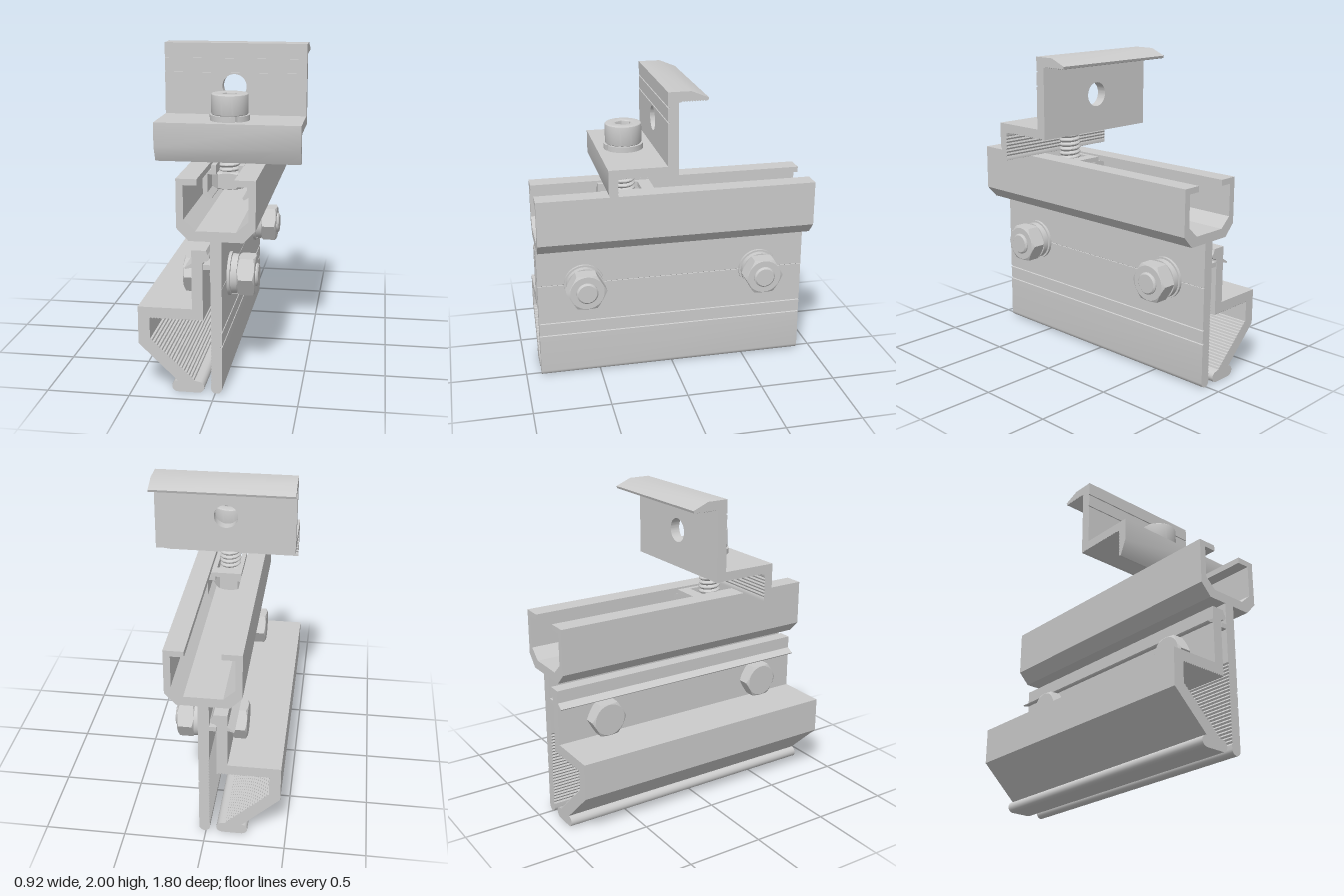
import * as THREE from 'three';
import { toCreasedNormals } from 'three/addons/utils/BufferGeometryUtils.js';

const mat = new THREE.MeshStandardMaterial({ color: 0xcccccc, side: THREE.DoubleSide });

function mesh(name, geo, parent) {
  const m = new THREE.Mesh(toCreasedNormals(geo, 0.45), mat);
  m.name = name;
  parent.add(m);
  return m;
}

const shapeOf = (pts) => new THREE.Shape(pts.map(([x, y]) => new THREE.Vector2(x, y)));

// Extrude a shape from z0 to z1
function prism(shape, z0, z1) {
  const g = new THREE.ExtrudeGeometry(shape, { depth: z1 - z0, bevelEnabled: false, curveSegments: 32 });
  return g.translate(0, 0, z0);
}

// Row of saw teeth from a to b, cut by depth d to the left of the direction
function teeth([ax, ay], [bx, by], n, d) {
  const len = Math.hypot(bx - ax, by - ay), nx = -(by - ay) / len, ny = (bx - ax) / len;
  const pts = [];
  for (let i = 0; i <= 2 * n; i++) {
    const t = i / (2 * n), k = i % 2 ? d : 0;
    pts.push([ax + (bx - ax) * t + nx * k, ay + (by - ay) * t + ny * k]);
  }
  return pts;
}

function arc(cx, cy, r, a0, a1, n = 8) {
  return Array.from({ length: n + 1 }, (_, i) => {
    const a = a0 + (a1 - a0) * i / n;
    return [cx + r * Math.cos(a), cy + r * Math.sin(a)];
  });
}

const lathe = (pts, seg = 40) =>
  new THREE.LatheGeometry(pts.map(([x, y]) => new THREE.Vector2(x, y)), seg);

// Hexagon of apothem a with rounded-off corners on both ends, corner facing +z
function hexGeometry(a, y0, y1) {
  const r = a * 0.97;
  const g = lathe([[0, y0], [r, y0], [a, y0], [a, y1], [r, y1], [0, y1]], 60);
  const p = g.attributes.position;
  for (let i = 0; i < p.count; i++) {
    const x = p.getX(i), z = p.getZ(i), rad = Math.hypot(x, z);
    if (rad < a * 0.985) continue;
    const phi = (Math.atan2(x, z) + 4 * Math.PI) % (Math.PI / 3);
    const k = 1 / Math.cos(phi - Math.PI / 6);
    const drop = (k * a - r) * 0.55;
    const y = p.getY(i);
    p.setXYZ(i, x * k, y > (y0 + y1) / 2 ? y - drop : y + drop, z * k);
  }
  return g;
}

// Screw thread: ridged lathe sheared into a helix
function threadGeometry(r, y0, y1, pitch = 0.03) {
  const pts = [[0, y0], [r * 0.82, y0]];
  for (let y = y0 - pitch; y < y1; y += pitch) {
    pts.push([r * 0.82, y], [r, y + pitch * 0.4], [r, y + pitch * 0.6]);
  }
  pts.push([r * 0.82, y1], [0, y1]);
  const g = lathe(pts, 28), p = g.attributes.position, uv = g.attributes.uv;
  for (let i = 0; i < p.count; i++) {
    p.setY(i, Math.min(y1, Math.max(y0, p.getY(i) + pitch * uv.getX(i))));
  }
  return g;
}

// Split ring lying flat between y0 and y1
function springWasher(rIn, rOut, y0, y1, gapAngle) {
  const g0 = gapAngle + 0.06, g1 = gapAngle + Math.PI * 2 - 0.06;
  const ring = shapeOf([...arc(0, 0, rOut, g0, g1, 48), ...arc(0, 0, rIn, g1, g0, 48)]);
  return prism(ring, -y1, -y0).rotateX(Math.PI / 2);
}

function buildRail(group) {
  const nick = (y) => [[0.042, y - 0.006], [0.034, y - 0.003], [0.034, y + 0.003], [0.042, y + 0.006]];
  const profile = [
    ...arc(0.0085, 0.0335, 0.0335, -Math.PI, 0, 12),
    ...nick(0.295), ...nick(0.385),
    [0.042, 0.653], [0.039, 0.655], [0.042, 0.657],
    // right half of the channel
    [0.042, 0.94], [0.168, 0.94], [0.238, 1.015], [0.238, 1.305], [0.115, 1.305], [0.115, 1.268],
    [0.196, 1.268], [0.196, 1.065], [0.125, 1.0],
    // left half of the channel
    [-0.11, 1.0], [-0.18, 1.065], [-0.18, 1.268], [-0.10, 1.268], [-0.10, 1.305], [-0.222, 1.305],
    [-0.222, 1.015], [-0.15, 0.94], [-0.025, 0.94],
    // ledge under the jaw hook
    [-0.025, 0.80], [-0.068, 0.80], [-0.068, 0.77], [-0.025, 0.77],
    ...teeth([-0.025, 0.56], [-0.025, 0.06], 24, 0.006),
  ];
  mesh('rail', prism(shapeOf(profile), -0.9, 0.9), group);
}

function buildJaw(group) {
  const profile = [
    [-0.07, 0.455], [-0.07, 0.81], [-0.055, 0.822],
    ...arc(-0.05, 0.842, 0.02, -Math.PI / 2, Math.PI / 3, 6),
    [-0.05, 0.885], [-0.135, 0.885], [-0.135, 0.805], [-0.178, 0.777], [-0.172, 0.77], [-0.135, 0.78],
    [-0.135, 0.525], [-0.46, 0.525], [-0.46, 0.295], [-0.225, 0.07],
    ...arc(-0.225, 0.035, 0.035, Math.PI / 2, Math.PI * 1.5),
    [-0.10, 0],
    ...arc(-0.1, 0.035, 0.035, -Math.PI / 2, Math.PI / 2),
    ...teeth([-0.125, 0.075], [-0.39, 0.325], 18, -0.007),
    ...teeth([-0.39, 0.455], [-0.075, 0.455], 18, 0.007),
  ];
  mesh('clampJaw', prism(shapeOf(profile), -0.9, 0.9), group);
}

// Bolt through jaw and rail; built along y, then laid along x
function buildCrossBolt(group, z) {
  const bolt = new THREE.Group();
  bolt.name = 'crossBolt';
  mesh('boltHead', hexGeometry(0.105, -0.228, -0.137), bolt);
  mesh('boltThread', threadGeometry(0.07, -0.14, 0.2), bolt);
  mesh('boltTip', lathe([[0.07, 0.19], [0.07, 0.213], [0.06, 0.222], [0, 0.222]]), bolt);
  mesh('washer', lathe([[0, 0.042], [0.133, 0.042], [0.133, 0.06], [0, 0.06]]), bolt);
  mesh('springWasher', springWasher(0.075, 0.122, 0.062, 0.1, 0.5), bolt);
  mesh('nut', hexGeometry(0.114, 0.1, 0.205), bolt);
  bolt.rotation.z = -Math.PI / 2;
  bolt.position.set(0, 0.655, z);
  group.add(bolt);
}

function buildEndClamp(group) {
  const clamp = new THREE.Group();
  clamp.name = 'endClamp';
  const x0 = -0.445, x1 = 0.455;
  // profiles are drawn as [z, y] and swept along x
  const sweep = (name, pts) =>
    mesh(name, prism(shapeOf(pts), -x1, -x0).rotateY(-Math.PI / 2), clamp);
  sweep('clampFoot', [
    [0.055, 1.49], [0.055, 1.55], [0.48, 1.55], [0.48, 1.4], [0.437, 1.305], [0.42, 1.31],
    ...teeth([0.42, 1.325], [0.42, 1.475], 7, -0.005), [0.42, 1.49],
    ...teeth([0.4, 1.49], [0.075, 1.49], 16, -0.005),
  ]);
  sweep('clampLip', [
    [0.112, 1.935], [0.112, 2], [-0.02, 2], [-0.125, 1.957], [-0.12, 1.942],
    ...teeth([-0.105, 1.938], [0.04, 1.938], 9, 0.006), [0.055, 1.935],
  ]);
  // upright wall with a round hole; its front layer is split by two grooves
  const wall = (y0, y1, z0, z1, hole) => {
    const s = shapeOf([[x0, y0], [x1, y0], [x1, y1], [x0, y1]]);
    if (hole) s.holes.push(new THREE.Path().absarc(0, 1.73, 0.077, 0, Math.PI * 2, true));
    mesh('clampWall', prism(s, z0, z1), clamp);
  };
  wall(1.55, 1.935, 0.055, 0.112, true);
  wall(1.55, 1.815, 0.112, 0.12, true);
  wall(1.823, 1.905, 0.112, 0.12, false);
  wall(1.913, 2.0, 0.112, 0.12, false);
  group.add(clamp);
}

function buildClampScrew(group) {
  const screw = new THREE.Group();
  screw.name = 'clampScrew';
  // socket head: round with a hexagonal hole
  const head = new THREE.Shape().absarc(0, 0, 0.105, 0, Math.PI * 2, false);
  head.holes.push(new THREE.Path(arc(0, 0, 0.064, Math.PI * 2, 0, 6).map(([x, y]) => new THREE.Vector2(x, y))));
  const geo = new THREE.ExtrudeGeometry(head, {
    depth: 0.11, bevelSize: 0.01, bevelThickness: 0.01, bevelSegments: 3, curveSegments: 32,
  });
  mesh('screwHead', geo.rotateX(-Math.PI / 2).translate(0, 1.595, 0), screw);
  mesh('springWasher', springWasher(0.07, 0.124, 1.55, 1.585, 1.1), screw);
  mesh('screwThread', threadGeometry(0.07, 1.14, 1.63), screw);
  mesh('channelNut', hexGeometry(0.102, 1.13, 1.235).rotateY(Math.PI / 2), screw);
  screw.position.z = 0.31;
  group.add(screw);
}

// Spring clip that holds the nut inside the channel
function buildNutClip(group) {
  const clip = new THREE.Group();
  clip.name = 'nutClip';
  for (const s of [-1, 1]) {
    const side = [
      [0.07, 1.295], [0.1, 1.295], [0.1, 1.265], [0.152, 1.265], [0.152, 1.11], [0.1, 1.08],
      [0.093, 1.095], [0.122, 1.125], [0.122, 1.238], [0.07, 1.238], [0.07, 1.265],
    ].map(([x, y]) => [0.008 + s * x, y]);
    mesh('clipSide', prism(shapeOf(side), 0.13, 0.47), clip);
  }
  const bridge = mesh('clipBridge', new THREE.BoxGeometry(0.16, 0.03, 0.08), clip);
  bridge.position.set(0.008, 1.28, 0.17);
  group.add(clip);
}

export function createModel() {
  const group = new THREE.Group();
  group.name = 'railClampAssembly';
  buildRail(group);
  buildJaw(group);
  for (const z of [0.595, -0.59]) buildCrossBolt(group, z);
  buildEndClamp(group);
  buildClampScrew(group);
  buildNutClip(group);
  return group;
}
